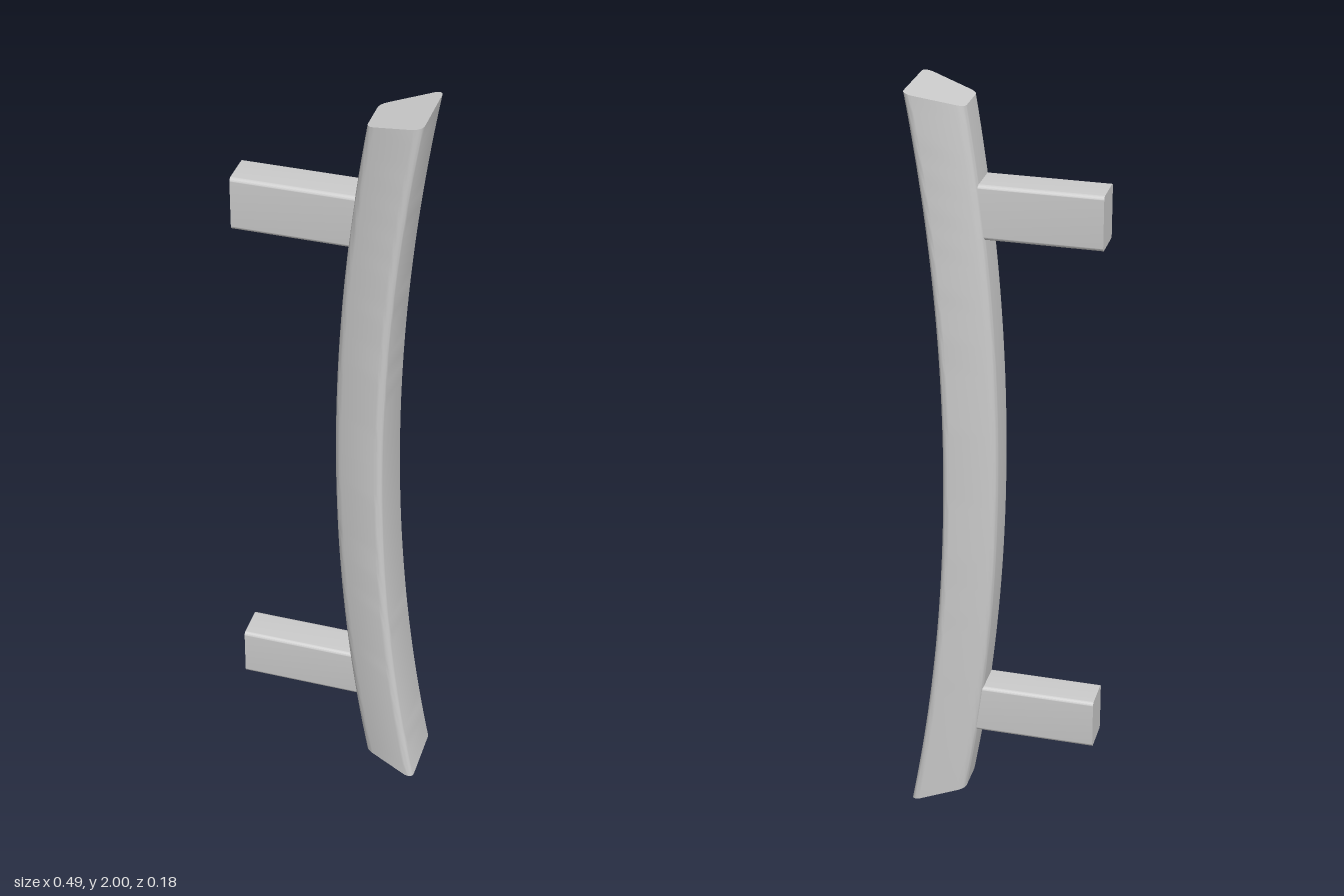
import * as THREE from 'three';
import { toCreasedNormals } from 'three/addons/utils/BufferGeometryUtils.js';

const material = new THREE.MeshStandardMaterial({ color: 0xcccccc });

// Bowed grip: a rounded trapezoid swept along an arc, with slanted end cuts
function createGrip() {
  const depth = 0.133, radius = 5.7, midY = 1.05, backX = 0.01;
  const s = new THREE.Shape();
  s.moveTo(0, -0.038);
  s.quadraticCurveTo(0, -0.056, 0.02, -0.062);
  s.lineTo(0.113, -0.092);
  s.quadraticCurveTo(depth, -0.092, depth, -0.074);
  s.lineTo(depth, 0.074);
  s.quadraticCurveTo(depth, 0.092, 0.113, 0.092);
  s.lineTo(0.02, 0.062);
  s.quadraticCurveTo(0, 0.056, 0, 0.038);
  s.closePath();

  const geo = new THREE.ExtrudeGeometry(s, { depth: 1, steps: 48, bevelEnabled: false, curveSegments: 6 });
  const p = geo.attributes.position;
  for (let i = 0; i < p.count; i++) {
    const d = p.getX(i), z = -p.getY(i), t = p.getZ(i);
    const k = d / depth;
    const y = THREE.MathUtils.lerp(0.036 * (1 - k), 1.965 + 0.035 * k, t);
    const r = radius - d;
    const x = backX + radius - Math.sqrt(r * r - (y - midY) ** 2);
    p.setXYZ(i, x, y, z);
  }
  const mesh = new THREE.Mesh(toCreasedNormals(geo, 0.6), material);
  mesh.name = 'grip';
  return mesh;
}

// Mounting post: a bar with softly rounded long edges, running along x
function createPost(name, y) {
  const w = 0.048, h = 0.069, r = 0.009;
  const s = new THREE.Shape();
  s.absarc(w - r, h - r, r, 0, Math.PI / 2);
  s.absarc(-w + r, h - r, r, Math.PI / 2, Math.PI);
  s.absarc(-w + r, -h + r, r, Math.PI, Math.PI * 1.5);
  s.absarc(w - r, -h + r, r, Math.PI * 1.5, Math.PI * 2);
  s.closePath();
  const geo = new THREE.ExtrudeGeometry(s, { depth: 0.32, bevelEnabled: false, curveSegments: 5 });
  geo.rotateY(Math.PI / 2);
  const mesh = new THREE.Mesh(toCreasedNormals(geo, 0.6), material);
  mesh.position.set(-0.246, y, 0);
  mesh.name = name;
  return mesh;
}

export function createModel() {
  const group = new THREE.Group();
  group.name = 'pullHandle';
  group.add(createGrip(), createPost('upperPost', 1.705), createPost('lowerPost', 0.297));
  return group;
}
